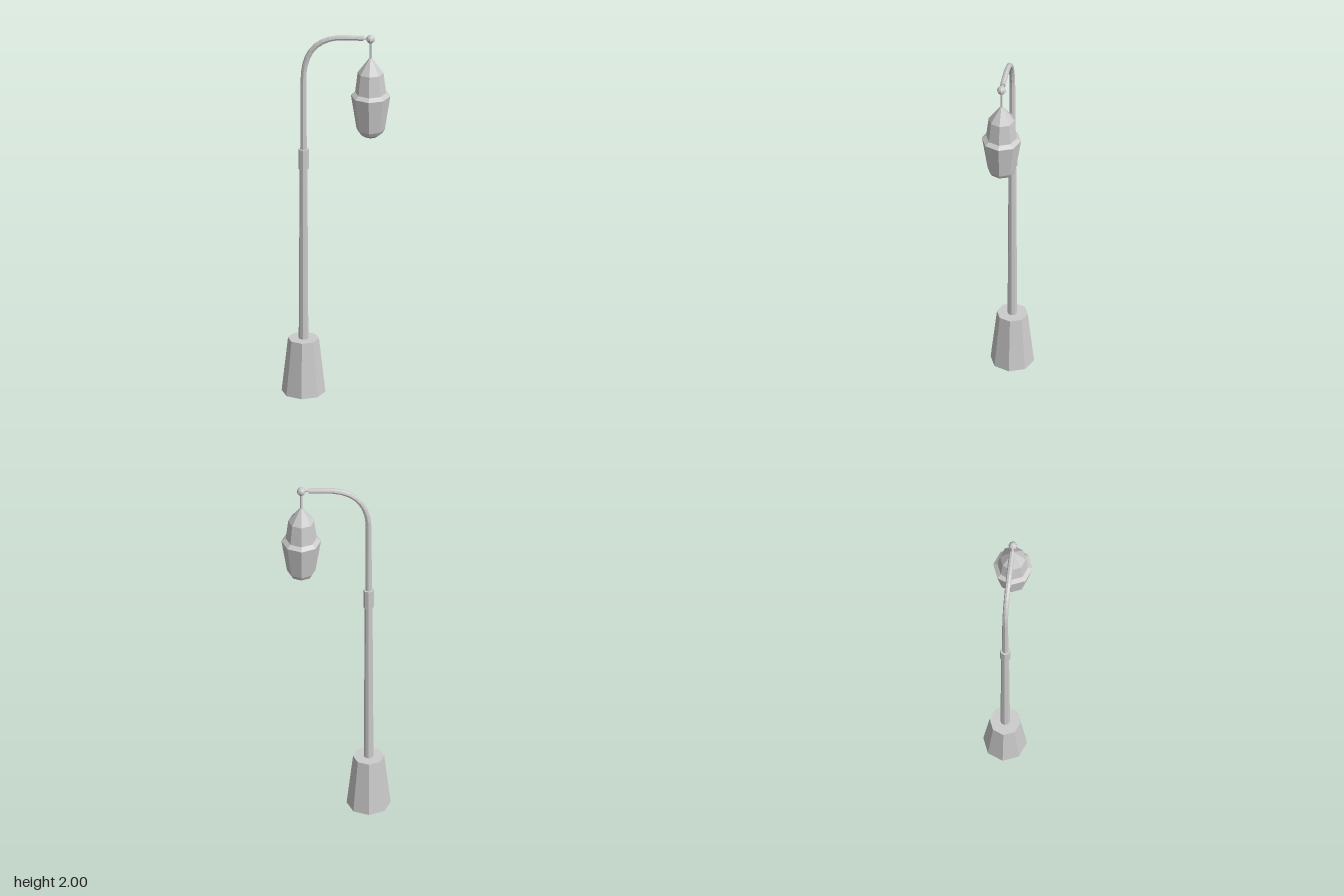
import * as THREE from 'three';

const SIDES = 8;
const POLE_X = -0.168;
const LAMP_X = 0.178;

export function createModel() {
  const model = new THREE.Group();
  const material = new THREE.MeshStandardMaterial({ color: 0xcccccc, flatShading: true });

  const add = (name, geometry, x = 0, y = 0) => {
    const mesh = new THREE.Mesh(geometry, material);
    mesh.name = name;
    mesh.position.set(x, y, 0);
    model.add(mesh);
    return mesh;
  };
  // Upright tapered post between two heights
  const post = (name, x, y0, y1, r0, r1, sides = SIDES) =>
    add(name, new THREE.CylinderGeometry(r1, r0, y1 - y0, sides), x, (y0 + y1) / 2);

  // Base and pole
  post('base', POLE_X, 0, 0.295, 0.113, 0.08);
  post('lowerPole', POLE_X, 0.29, 1.26, 0.025, 0.02);
  post('collar', POLE_X, 1.24, 1.35, 0.027, 0.027);
  post('upperPole', POLE_X, 1.34, 1.75, 0.017, 0.015);

  // Arm bending over towards the lamp
  const bend = new THREE.CubicBezierCurve3(
    new THREE.Vector3(POLE_X, 1.74, 0),
    new THREE.Vector3(POLE_X, 1.9, 0),
    new THREE.Vector3(-0.09, 1.98, 0),
    new THREE.Vector3(0.05, 1.98, 0)
  );
  add('bentArm', new THREE.TubeGeometry(bend, 9, 0.0145, SIDES));
  const armEnd = add('armEnd', new THREE.CylinderGeometry(0.0145, 0.0145, 0.09, SIDES), 0.095, 1.98);
  armEnd.rotation.z = Math.PI / 2;

  // Pin, ball joint and hanger rod
  const pin = add('armPin', new THREE.CylinderGeometry(0.006, 0.006, 0.04, SIDES), 0.155, 1.98);
  pin.rotation.z = Math.PI / 2;
  add('ballJoint', new THREE.SphereGeometry(0.023, SIDES, 6), LAMP_X, 1.977);
  post('hangerRod', LAMP_X, 1.86, 1.97, 0.006, 0.006);

  // Lantern: domed bottom, tapered glass, flared rim and pointed cap
  const lantern = (name, points) =>
    add(name, new THREE.LatheGeometry(points.map(([r, y]) => new THREE.Vector2(r, y)), SIDES), LAMP_X);
  lantern('lampBottom', [[0, 1.433], [0.034, 1.437], [0.06, 1.455], [0.073, 1.477]]);
  lantern('lampGlass', [[0.073, 1.477], [0.102, 1.663]]);
  lantern('lampRim', [[0.102, 1.663], [0.08, 1.68]]);
  lantern('lampCap', [[0.08, 1.68], [0.067, 1.79], [0.008, 1.87], [0, 1.87]]);

  return model;
}
